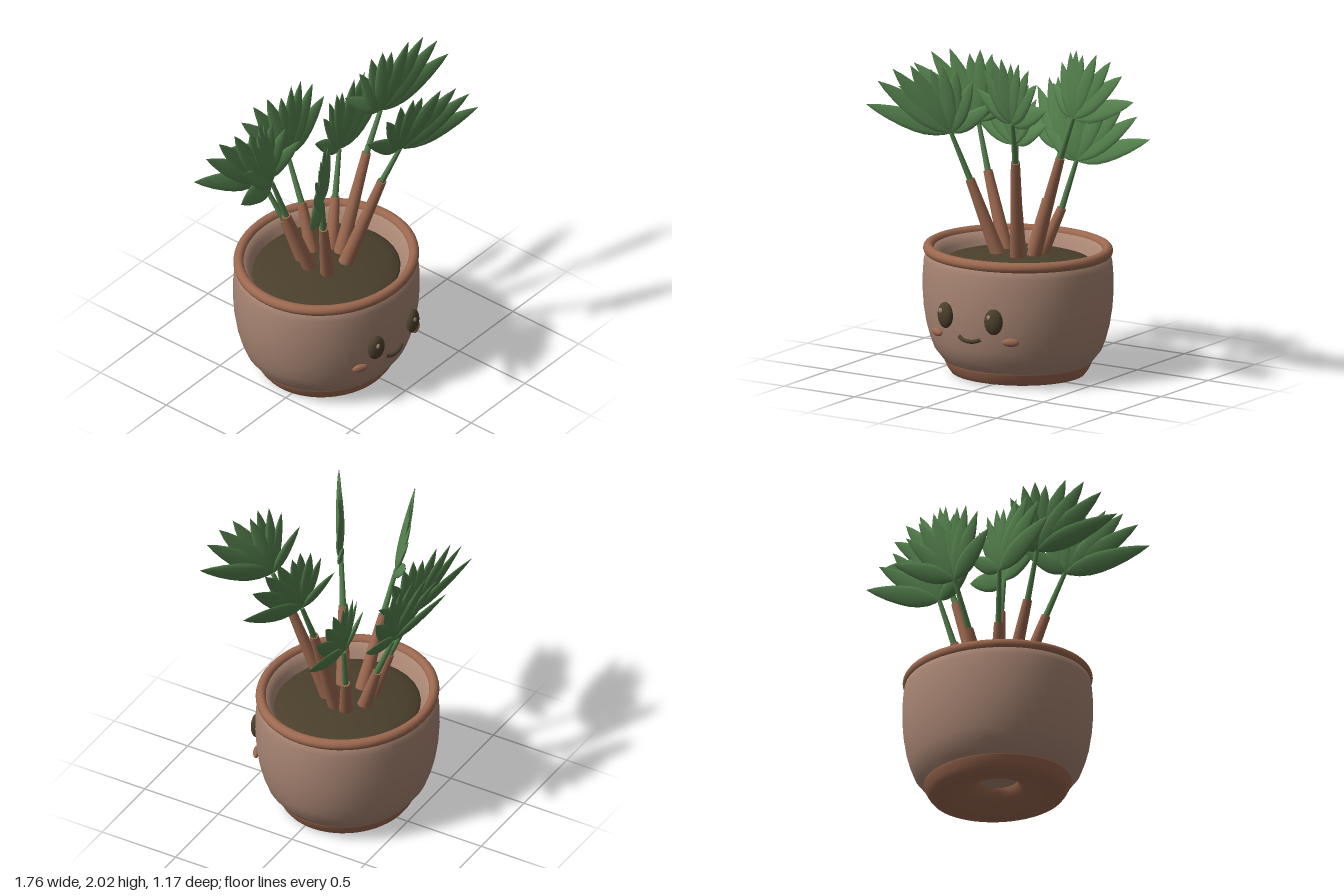
import * as THREE from 'three';
import { mergeGeometries } from 'three/addons/utils/BufferGeometryUtils.js';

const V = (a) => new THREE.Vector3(...a);
const material = (name, color) => {
  const m = new THREE.MeshStandardMaterial({ color });
  m.name = name;
  return m;
};

export function createModel() {
  const clay = material('pale clay', 0xa88573);
  const terracotta = material('terracotta', 0x9c684f);
  const soilBrown = material('dark soil', 0x4a3f2c);
  const leafGreen = material('leaf green', 0x54804d);

  const model = new THREE.Group();
  model.name = 'pottedPalm';
  const add = (parent, name, geometry, mat) => {
    const mesh = new THREE.Mesh(geometry, mat);
    mesh.name = name;
    parent.add(mesh);
    return mesh;
  };
  const lathe = (pts, segs = 56) =>
    new THREE.LatheGeometry(pts.map((p) => new THREE.Vector2(...p)), segs);

  // Pot: slightly oval, turned profiles around an off-centre axis
  const pot = new THREE.Group();
  pot.name = 'pot';
  pot.position.set(-0.05, 0, -0.06);
  pot.scale.z = 0.925;
  model.add(pot);
  add(pot, 'potBody', lathe([
    [0.44, 0.075], [0.465, 0.105], [0.505, 0.155], [0.53, 0.22], [0.552, 0.3], [0.568, 0.4],
    [0.575, 0.5], [0.574, 0.6], [0.568, 0.68], [0.555, 0.74], [0.51, 0.75], [0.475, 0.7], [0.445, 0.63],
  ]), clay);
  add(pot, 'foot', lathe([
    [0.12, 0.11], [0.125, 0.075], [0.155, 0.045], [0.22, 0.02], [0.3, 0.005], [0.37, 0],
    [0.405, 0.008], [0.425, 0.035], [0.445, 0.075], [0.447, 0.088], [0.435, 0.1],
  ]), terracotta);
  const rim = add(pot, 'rim', new THREE.TorusGeometry(0.541, 0.032, 14, 56), terracotta);
  rim.rotation.x = Math.PI / 2;
  rim.position.y = 0.747;
  const floor = add(pot, 'potFloor', new THREE.CircleGeometry(0.2, 32), clay);
  floor.rotation.x = Math.PI / 2;
  floor.position.y = 0.105;
  add(pot, 'soil', lathe([[0.458, 0.66], [0.44, 0.677], [0.38, 0.695], [0.24, 0.72], [0, 0.74]], 32), soilBrown);

  // Face on the front of the pot
  const face = new THREE.Group();
  face.name = 'face';
  model.add(face);
  const blob = (name, pos, size, mat) => {
    const mesh = add(face, name, new THREE.SphereGeometry(1, 24, 16), mat);
    mesh.position.set(...pos);
    mesh.scale.set(...size);
    return mesh;
  };
  for (const s of [-1, 1]) {
    const side = s > 0 ? 'left' : 'right';
    blob(side + 'Eye', [-0.05 + s * 0.17, 0.425, 0.458], [0.057, 0.078, 0.034], soilBrown).rotation.y = s * 0.25;
    blob(side + 'EyeGlint', [-0.065 + s * 0.17, 0.455, 0.486], [0.014, 0.016, 0.009], clay);
    blob(side + 'Cheek', [-0.05 + s * 0.26, 0.303, 0.41], [0.051, 0.025, 0.019], terracotta).rotation.y = s * 0.45;
  }
  const smile = new THREE.CatmullRomCurve3([
    [-0.125, 0.308, 0.452], [-0.1, 0.295, 0.459], [-0.05, 0.287, 0.463], [0, 0.295, 0.459], [0.025, 0.308, 0.452],
  ].map(V));
  add(face, 'smile', new THREE.TubeGeometry(smile, 24, 0.012, 8), soilBrown);

  // Tapered rod between two points
  const rod = (a, b, r0, r1, segs) => {
    const d = b.clone().sub(a);
    const g = new THREE.CylinderGeometry(r1, r0, d.length(), segs);
    g.applyQuaternion(new THREE.Quaternion().setFromUnitVectors(new THREE.Vector3(0, 1, 0), d.clone().normalize()));
    const mid = a.clone().add(b).multiplyScalar(0.5);
    return g.translate(mid.x, mid.y, mid.z);
  };

  // Unit leaf blade: spindle with a long point, flattened when placed
  const blade = lathe([
    [0.001, 0], [0.32, 0.05], [0.7, 0.15], [0.95, 0.28], [1, 0.4], [0.92, 0.54], [0.7, 0.71], [0.38, 0.87], [0.001, 1],
  ], 10);

  // Fan of blades swept from tip a, over the top tip, to tip b
  const fan = (base, top, a, b, count = 9) => {
    const U = top.clone().sub(base), A = a.clone().sub(base), B = b.clone().sub(base);
    const reach = (u) => U.clone().multiplyScalar(Math.pow(Math.max(0, 1 - u * u), 0.9))
      .addScaledVector(u < 0 ? A : B, Math.abs(u));
    const leaves = [];
    for (let i = 0; i < count; i++) {
      const u = (2 * i) / (count - 1) - 1;
      const d = reach(u);
      const len = d.length();
      const dir = d.clone().normalize();
      const n = reach(Math.min(1, u + 0.05)).sub(reach(Math.max(-1, u - 0.05))).cross(dir).normalize();
      n.applyAxisAngle(dir, -0.3 * u);
      const x = dir.clone().cross(n);
      const m = new THREE.Matrix4().makeBasis(
        x.multiplyScalar(0.032 + len * 0.062), d, n.clone().multiplyScalar(0.016));
      m.setPosition(base.clone().addScaledVector(n, (i % 2) * 0.006));
      leaves.push(blade.clone().applyMatrix4(m));
    }
    return mergeGeometries(leaves);
  };

  // Each palm: trunk foot, trunk top, fan base, top tip, tip toward -x, tip toward +x
  const palms = {
    frontLeft: [[0, 0.66, 0.02], [0.12, 1.345, 0.225], [0.165, 1.605, 0.325], [0.23, 2, 0.44], [-0.11, 1.78, 0.3], [0.58, 1.79, 0.58]],
    left: [[0.05, 0.66, -0.05], [0.275, 1.345, -0.02], [0.38, 1.605, 0], [0.46, 2, 0.02], [0.17, 1.77, -0.1], [0.88, 1.785, 0.11]],
    frontRight: [[-0.12, 0.66, 0.01], [-0.28, 1.17, 0.105], [-0.37, 1.45, 0.17], [-0.47, 1.84, 0.24], [-0.8, 1.62, 0.43], [-0.15, 1.63, 0.05]],
    right: [[-0.14, 0.66, -0.09], [-0.32, 1.17, -0.145], [-0.41, 1.45, -0.18], [-0.5, 1.84, -0.22], [-0.88, 1.63, -0.03], [-0.23, 1.62, -0.35]],
    backRight: [[-0.11, 0.66, -0.16], [-0.195, 1.01, -0.265], [-0.27, 1.29, -0.37], [-0.33, 1.66, -0.41], [-0.72, 1.47, -0.52], [0, 1.46, -0.3]],
    back: [[-0.03, 0.66, -0.17], [0, 1.01, -0.29], [0.02, 1.29, -0.41], [0.03, 1.68, -0.47], [-0.33, 1.47, -0.57], [0.42, 1.47, -0.46]],
    backLeft: [[0.05, 0.66, -0.11], [0.18, 1, -0.18], [0.26, 1.29, -0.215], [0.33, 1.65, -0.25], [0.04, 1.45, -0.22], [0.75, 1.47, -0.26]],
  };
  for (const [name, pts] of Object.entries(palms)) {
    const [foot, crown, base, top, a, b] = pts.map(V);
    const palm = new THREE.Group();
    palm.name = name + 'Palm';
    model.add(palm);
    add(palm, 'trunk', rod(foot, crown, 0.046, 0.027, 14), terracotta);
    add(palm, 'stem', rod(crown, base, 0.019, 0.013, 10), leafGreen);
    add(palm, 'leafFan', fan(base, top, a, b), leafGreen);
  }
  return model;
}
